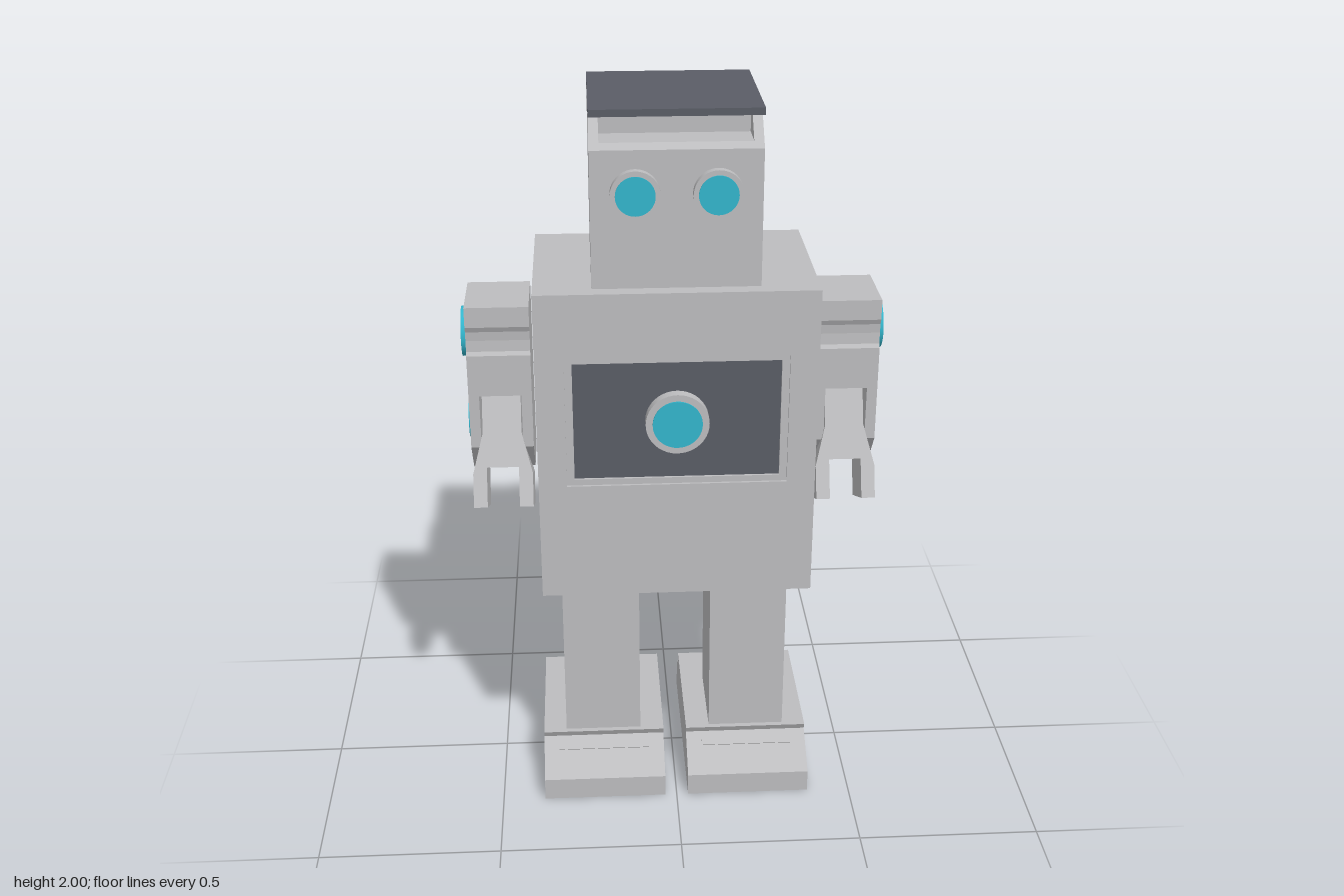
import * as THREE from 'three';

const metal = new THREE.MeshStandardMaterial({ color: 0xbdbdbf });
metal.name = 'light grey metal';
const dark = new THREE.MeshStandardMaterial({ color: 0x5a5d66 });
dark.name = 'dark slate';
const cyan = new THREE.MeshStandardMaterial({ color: 0x33b5cc });
cyan.name = 'cyan light';

function add(parent, name, geometry, material) {
  const mesh = new THREE.Mesh(geometry, material);
  mesh.name = name;
  parent.add(mesh);
  return mesh;
}

// box from its minimum and maximum corners
function box(x0, x1, y0, y1, z0, z1) {
  return new THREE.BoxGeometry(x1 - x0, y1 - y0, z1 - z0)
    .translate((x0 + x1) / 2, (y0 + y1) / 2, (z0 + z1) / 2);
}

function shapeOf(points) {
  return new THREE.Shape(points.map(([a, b]) => new THREE.Vector2(a, b)));
}

// side profile of [z, y] points, extruded from x0 to x1
function side(points, x0, x1) {
  return new THREE.ExtrudeGeometry(shapeOf(points), { depth: x1 - x0, bevelEnabled: false })
    .rotateY(-Math.PI / 2).translate(x1, 0, 0);
}

// disc facing +z between z0 and z1
function discZ(r, x, y, z0, z1) {
  return new THREE.CylinderGeometry(r, r, z1 - z0, 40)
    .rotateX(Math.PI / 2).translate(x, y, (z0 + z1) / 2);
}

// disc facing along x between x0 and x1
function discX(r, x0, x1, y, z) {
  return new THREE.CylinderGeometry(r, r, x1 - x0, 40)
    .rotateZ(Math.PI / 2).translate((x0 + x1) / 2, y, z);
}

function rect(hx, y0, y1) {
  return [[-hx, y0], [hx, y0], [hx, y1], [-hx, y1]];
}

function frame(outer, inner, z0, z1) {
  const s = shapeOf(outer);
  s.holes.push(shapeOf(inner));
  return new THREE.ExtrudeGeometry(s, { depth: z1 - z0, bevelEnabled: false }).translate(0, 0, z0);
}

function makeHead() {
  const head = new THREE.Group();
  head.name = 'head';
  // sloping forehead with a wide slot under the lid
  const cheek = [[-0.175, 1.545], [0.235, 1.545], [0.235, 1.9], [0.155, 1.982], [-0.175, 1.982]];
  const core = [[-0.175, 1.545], [0.235, 1.545], [0.235, 1.9], [0.22, 1.915], [0.13, 1.915],
    [0.13, 1.982], [-0.175, 1.982]];
  add(head, 'headCore', side(core, -0.19, 0.19), metal);
  for (const x of [-0.215, 0.19]) add(head, 'headSide', side(cheek, x, x + 0.025), metal);
  add(head, 'headLid', box(-0.215, 0.215, 1.982, 2, -0.175, 0.235), dark);
  for (const x of [-0.103, 0.103]) {
    add(head, 'eyeRim', discZ(0.063, x, 1.79, 0.23, 0.256), metal);
    add(head, 'eyeLens', discZ(0.05, x, 1.79, 0.252, 0.259), cyan);
  }
  return head;
}

function makeTorso() {
  const torso = new THREE.Group();
  torso.name = 'torso';
  add(torso, 'torsoBox', box(-0.365, 0.365, 0.68, 1.545, -0.213, 0.255), metal);
  add(torso, 'frontPlate', frame(rect(0.365, 0.68, 1.545), rect(0.29, 1.01, 1.37), 0.255, 0.275), metal);
  // recessed screen and its inner border
  add(torso, 'screenBorder', frame(rect(0.29, 1.01, 1.37), rect(0.27, 1.027, 1.355), 0.255, 0.268), metal);
  add(torso, 'screen', box(-0.27, 0.27, 1.027, 1.355, 0.254, 0.261), dark);
  add(torso, 'chestRim', discZ(0.083, 0, 1.19, 0.258, 0.29), metal);
  add(torso, 'chestLight', discZ(0.065, 0, 1.19, 0.286, 0.294), cyan);
  add(torso, 'backPanel', box(-0.35, 0.35, 0.695, 1.53, -0.217, -0.212), dark);
  return torso;
}

function makeLeg(s) {
  const leg = new THREE.Group();
  leg.name = s > 0 ? 'leftLeg' : 'rightLeg';
  const span = (a, b) => (s > 0 ? [a, b] : [-b, -a]);
  add(leg, 'legColumn', box(...span(0.1, 0.315), 0.15, 0.69, -0.095, 0.16), metal);
  // foot with sloping toe and heel under an overhanging lip
  const foot = [[-0.29, 0], [0.275, 0], [0.275, 0.065], [0.165, 0.14], [0.175, 0.16],
    [-0.225, 0.16], [-0.21, 0.135], [-0.29, 0.09]];
  add(leg, 'foot', side(foot, ...span(0.033, 0.38)), metal);
  const trim = add(leg, 'toeTrim', new THREE.BoxGeometry(0.26, 0.022, 0.006), metal);
  trim.position.set(s * 0.2065, 0.122, 0.192);
  trim.rotation.x = -Math.atan2(0.11, 0.075);
  return leg;
}

function makeArm(s) {
  const arm = new THREE.Group();
  arm.name = s > 0 ? 'leftArm' : 'rightArm';
  const cx = s * 0.4625;
  // shoulder block with a shallow groove across the front
  const shoulder = [[-0.07, 1.21], [0.127, 1.21], [0.127, 1.325], [0.12, 1.335], [0.118, 1.365],
    [0.12, 1.39], [0.127, 1.405], [0.127, 1.46], [-0.07, 1.46]];
  add(arm, 'shoulder', side(shoulder, cx - 0.084, cx + 0.084), metal);
  // side plates around the open lower arm
  const plate = [[-0.068, 0.97], [0.06, 0.97], [0.127, 1.06], [0.127, 1.21], [-0.07, 1.21]];
  for (const u of [-0.084, 0.056]) add(arm, 'armPlate', side(plate, cx + u, cx + u + 0.028), metal);
  // elbow guard at the back
  const guard = [[-0.06, 1.12], [-0.06, 1.352], [-0.07, 1.35], [-0.148, 1.31], [-0.135, 1.24],
    [-0.118, 1.225], [-0.098, 1.17], [-0.07, 1.125]].reverse();
  add(arm, 'elbowGuard', side(guard, cx - 0.077, cx + 0.077), metal);
  // tilted forked hand
  const half = [[0.043, 0], [0.08, 0], [0.08, 0.09], [0.052, 0.2], [0.052, 0.32]];
  const fork = [[0.043, 0.107], ...half, ...half.map(([a, b]) => [-a, b]).reverse(), [-0.043, 0.107]];
  const hand = add(arm, 'hand', new THREE.ExtrudeGeometry(shapeOf(fork),
    { depth: 0.148, bevelEnabled: false }).translate(0, 0, -0.148), metal);
  hand.position.set(cx, 0.918, 0.205);
  hand.rotation.x = -0.42;
  // round lights on the outer side
  const span = (a, b) => (s > 0 ? [a, b] : [-b, -a]);
  add(arm, 'shoulderLight', discX(0.067, ...span(0.54, 0.56), 1.36, 0.03), cyan);
  add(arm, 'elbowLight', discX(0.061, ...span(0.54, 0.552), 1.113, 0.03), cyan);
  return arm;
}

export function createModel() {
  const model = new THREE.Group();
  model.name = 'toyRobot';
  model.add(makeHead(), makeTorso());
  for (const s of [-1, 1]) model.add(makeLeg(s), makeArm(s));
  return model;
}
